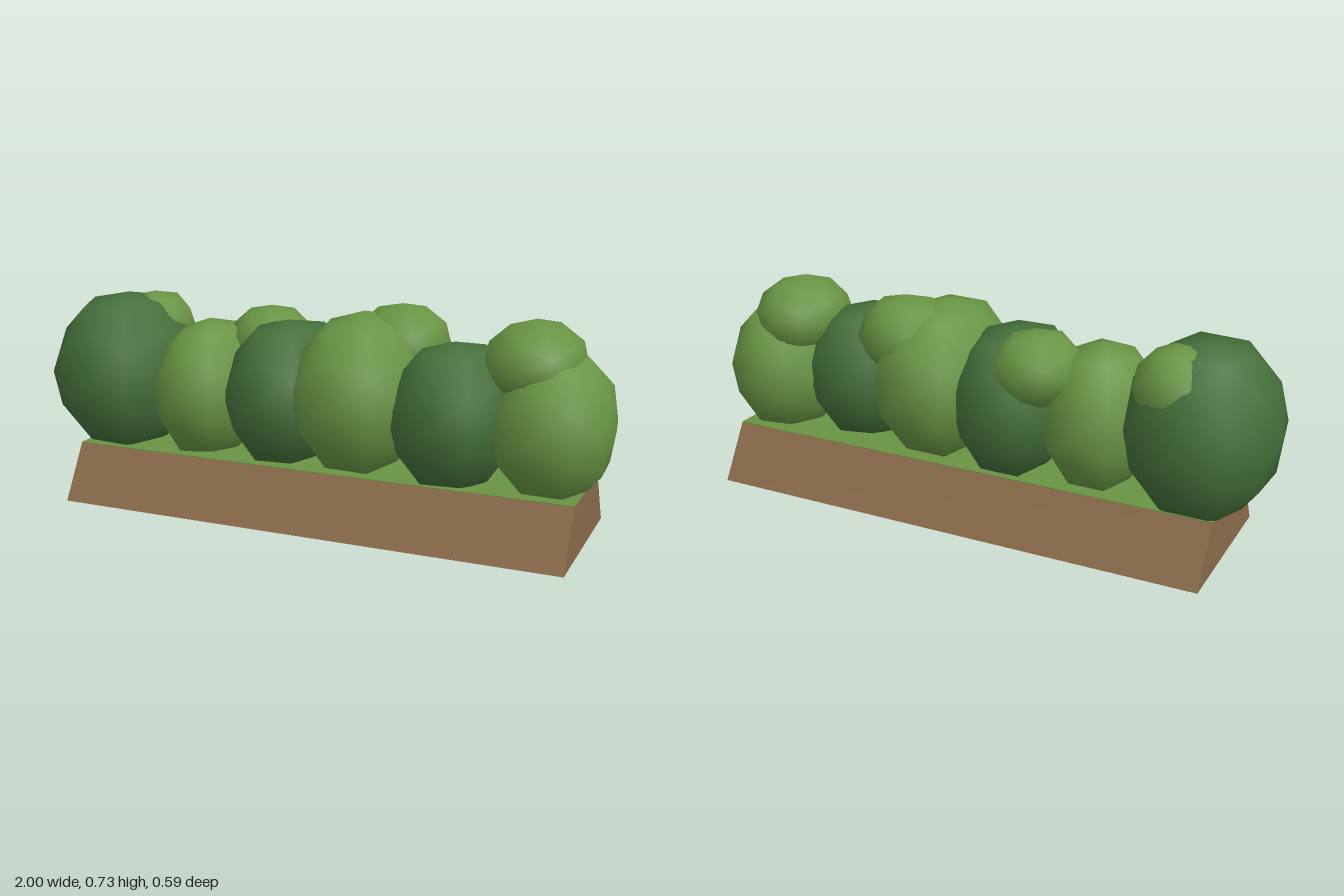
import * as THREE from 'three';
import { mergeVertices } from 'three/addons/utils/BufferGeometryUtils.js';

function material(name, color) {
  const m = new THREE.MeshStandardMaterial({ color });
  m.name = name;
  return m;
}

// Small seeded generator for the uneven foliage
function seeded(seed) {
  let s = seed * 7919 + 13;
  return () => (s = (s * 16807) % 2147483647) / 2147483647;
}

// Low-poly squarish ball with gently uneven corners and smooth normals
function bushGeometry(radii, power, seed) {
  let g = new THREE.IcosahedronGeometry(1, 1);
  g.deleteAttribute('uv');
  g.deleteAttribute('normal');
  g = mergeVertices(g, 1e-4);
  const rand = seeded(seed);
  const pos = g.attributes.position;
  const v = new THREE.Vector3();
  for (let i = 0; i < pos.count; i++) {
    v.fromBufferAttribute(pos, i).normalize();
    const sum = Math.abs(v.x) ** power + Math.abs(v.y) ** power + Math.abs(v.z) ** power;
    v.multiplyScalar(sum ** (-1 / power) * (0.97 + 0.06 * rand()));
    pos.setXYZ(i, v.x * radii[0], v.y * radii[1], v.z * radii[2]);
  }
  g.computeVertexNormals();
  return g;
}

export function createModel() {
  const group = new THREE.Group();
  const wood = material('brown wood', 0x8b6b4a);
  const light = material('light leaf green', 0x689443);
  const dark = material('dark leaf green', 0x446f3a);

  const add = (name, geometry, mat, x = 0, y = 0, z = 0) => {
    const mesh = new THREE.Mesh(geometry, mat);
    mesh.name = name;
    mesh.position.set(x, y, z);
    group.add(mesh);
    return mesh;
  };

  // Planter: trapezoid section drawn in (-z, y), extruded along x
  const section = new THREE.Shape([
    new THREE.Vector2(-0.27, 0), new THREE.Vector2(0.303, 0),
    new THREE.Vector2(0.192, 0.187), new THREE.Vector2(-0.162, 0.187),
  ]);
  const planter = add('planter',
    new THREE.ExtrudeGeometry(section, { depth: 1.77, bevelEnabled: false }), wood, -0.85);
  planter.rotation.y = Math.PI / 2;

  // Green bed covering the planter top
  add('grassBed', new THREE.BoxGeometry(1.77, 0.004, 0.354), light, 0.035, 0.187, -0.015);

  // Main bushes in a row: colour, centre, radii
  const bushes = [
    [dark, [-0.76, 0.43, -0.025], [0.24, 0.285, 0.275]],
    [light, [-0.41, 0.40, -0.01], [0.18, 0.24, 0.23]],
    [dark, [-0.11, 0.41, -0.02], [0.20, 0.25, 0.26]],
    [light, [0.17, 0.44, 0.00], [0.22, 0.265, 0.295]],
    [dark, [0.49, 0.40, 0.03], [0.20, 0.24, 0.23]],
    [light, [0.805, 0.39, -0.015], [0.195, 0.235, 0.235]],
  ];
  bushes.forEach(([mat, c, r], i) =>
    add('bush' + (i + 1), bushGeometry(r, 2.4, i + 1), mat, ...c));

  // Smaller tufts sitting on top of the row
  const tufts = [
    [[-0.69, 0.575, -0.11], [0.14, 0.135, 0.155]],
    [[-0.22, 0.56, -0.11], [0.15, 0.125, 0.155]],
    [[0.27, 0.59, -0.09], [0.16, 0.14, 0.16]],
    [[0.74, 0.58, -0.015], [0.165, 0.14, 0.185]],
  ];
  tufts.forEach(([c, r], i) =>
    add('tuft' + (i + 1), bushGeometry(r, 2.1, i + 21), light, ...c));

  return group;
}
